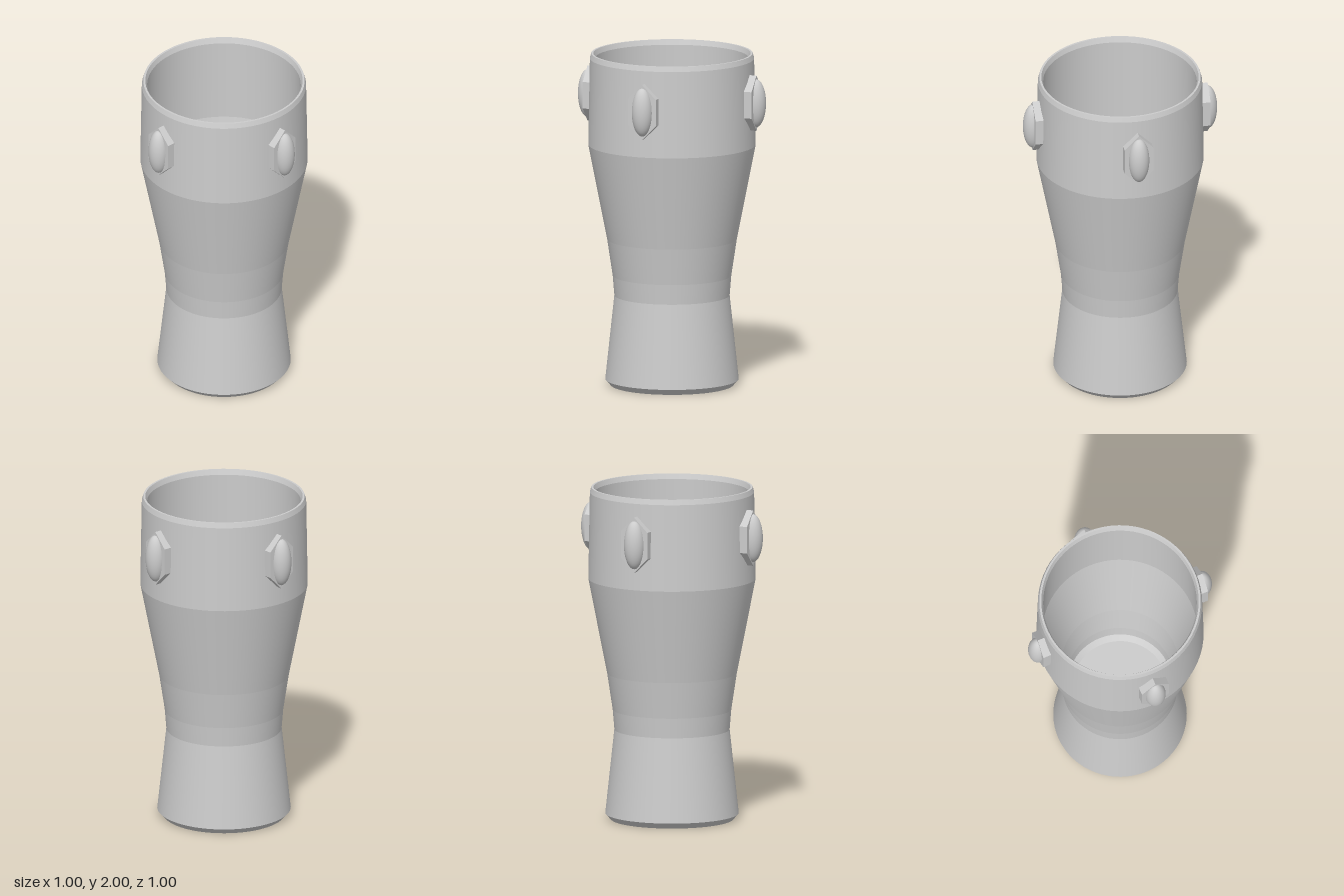
import * as THREE from 'three';
import { mergeGeometries } from 'three/addons/utils/BufferGeometryUtils.js';

// Revolves each profile span on its own, so the edges between spans stay crisp
function creasedLathe(profile, segments) {
  const spans = [];
  for (let i = 0; i < profile.length - 1; i++) {
    const pair = [profile[i], profile[i + 1]].map(([r, y]) => new THREE.Vector2(r, y));
    spans.push(new THREE.LatheGeometry(pair, segments));
  }
  return mergeGeometries(spans);
}

export function createModel() {
  const model = new THREE.Group();
  model.name = 'tumbler';
  const grey = new THREE.MeshStandardMaterial({ color: 0xcccccc });
  grey.name = 'light grey';

  const add = (parent, name, geometry) => {
    const mesh = new THREE.Mesh(geometry, grey);
    mesh.name = name;
    parent.add(mesh);
    return mesh;
  };

  // Outer wall: chamfered foot, flared base, waist and wide mouth
  add(model, 'outerWall', creasedLathe([
    [0, 0], [0.365, 0], [0.397, 0.035], [0.343, 0.54], [0.353, 0.66],
    [0.386, 0.88], [0.498, 1.45], [0.489, 1.97], [0.48, 2],
  ], 64));

  // Bevelled lip
  add(model, 'rim', creasedLathe([[0.48, 2], [0.468, 2], [0.457, 1.97]], 64));

  // Inner wall down to the raised floor of the solid base
  add(model, 'innerWall', creasedLathe([
    [0.457, 1.97], [0.462, 1.45], [0.351, 0.88], [0.318, 0.66],
    [0.31, 0.57], [0.278, 0.54], [0, 0.54],
  ], 64));

  // Hexagonal mount with a domed stone on each diagonal
  const hexagon = new THREE.Shape([
    [0, -0.167], [0.087, -0.08], [0.087, 0.08],
    [0, 0.167], [-0.087, 0.08], [-0.087, -0.08],
  ].map(([x, y]) => new THREE.Vector2(x, y)));
  const plate = new THREE.ExtrudeGeometry(hexagon, { depth: 0.058, bevelEnabled: false });
  plate.translate(0, 0, 0.475);

  const dome = new THREE.SphereGeometry(1, 32, 20);
  dome.scale(0.062, 0.145, 0.06).translate(0, 0, 0.53);

  for (let i = 0; i < 4; i++) {
    const stud = new THREE.Group();
    stud.name = 'stud' + (i + 1);
    add(stud, 'studPlate', plate);
    add(stud, 'studDome', dome);
    stud.position.y = 1.728;
    stud.rotation.y = Math.PI / 4 + i * Math.PI / 2;
    model.add(stud);
  }
  return model;
}
